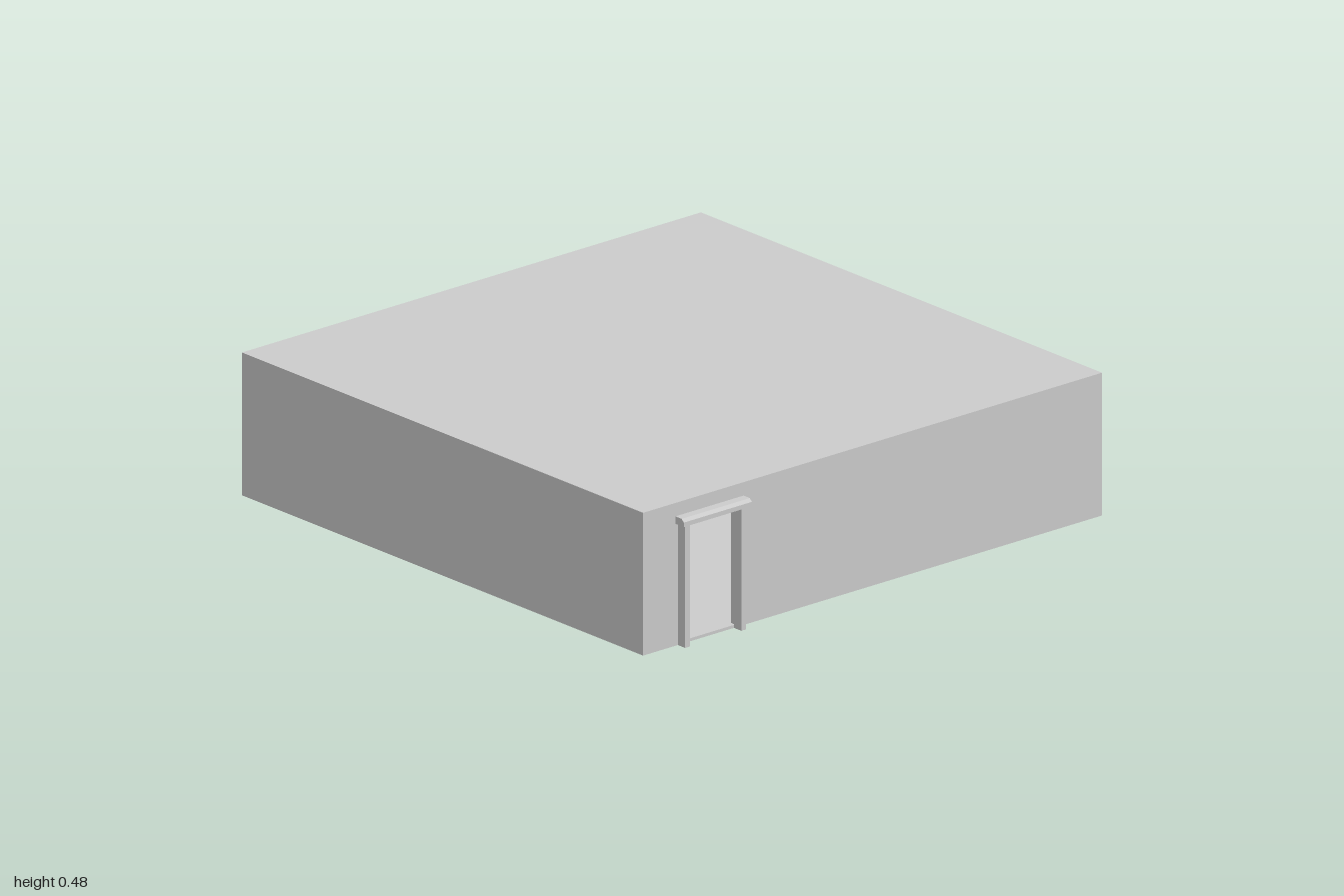
import * as THREE from 'three';

const material = new THREE.MeshStandardMaterial({ color: 0xcccccc, flatShading: true });
const XMIN = -0.965, XMAX = 0.955, HALF_Z = 0.96, HEIGHT = 0.48, T = 0.02;
const MID_X = (XMIN + XMAX) / 2;

function add(parent, name, geometry, x = 0, y = 0, z = 0) {
  const mesh = new THREE.Mesh(geometry, material);
  mesh.name = name;
  mesh.position.set(x, y, z);
  parent.add(mesh);
  return mesh;
}

const polygon = (points) => points.map(([a, b]) => new THREE.Vector2(a, b));
const rectangle = (a0, b0, a1, b1) => polygon([[a0, b0], [a1, b0], [a1, b1], [a0, b1]]);

// Extrudes a (z, y) outline into a panel that spans x = -depth to 0
function sidePanel(outline, hole, depth) {
  const shape = new THREE.Shape(outline);
  if (hole) shape.holes.push(new THREE.Path(hole));
  return new THREE.ExtrudeGeometry(shape, { depth, bevelEnabled: false }).rotateY(-Math.PI / 2);
}

// Stepped hood with a sloped upper edge, running along z; side is +1 or -1
function addHood(parent, name, wallX, side, z0, z1) {
  const profile = polygon([
    [0, 0.41], [0.04, 0.41], [0.04, 0.425], [0.03, 0.435], [0, 0.435],
  ]);
  const geometry = new THREE.ExtrudeGeometry(new THREE.Shape(profile), { depth: z1 - z0, bevelEnabled: false });
  if (side < 0) geometry.rotateY(Math.PI).translate(0, 0, z1 - z0);
  add(parent, name, geometry, wallX, 0, z0);
}

export function createModel() {
  const model = new THREE.Group();
  model.name = 'room';
  const width = XMAX - XMIN;
  const inner = HALF_Z - T;

  // Floor, ceiling, and the plain front and back walls
  add(model, 'floor', new THREE.BoxGeometry(width, 0.01, 2 * HALF_Z), MID_X, 0.005, 0);
  add(model, 'roof', new THREE.BoxGeometry(width, 0.01, 2 * HALF_Z), MID_X, HEIGHT - 0.005, 0);
  for (const [name, side] of [['frontWall', 1], ['backWall', -1]]) {
    add(model, name, new THREE.BoxGeometry(width, HEIGHT - 0.02, T), MID_X, HEIGHT / 2, side * (HALF_Z - T / 2));
  }

  // Side wall with a doorway reaching the floor
  add(model, 'doorWall', sidePanel(polygon([
    [-inner, 0.01], [0.575, 0.01], [0.575, 0.41], [0.8, 0.41],
    [0.8, 0.01], [inner, 0.01], [inner, 0.47], [-inner, 0.47],
  ]), null, T), XMAX);

  // Opposite side wall with a window opening
  add(model, 'windowWall', sidePanel(
    rectangle(-inner, 0.01, inner, 0.47), rectangle(0.04, 0.19, 0.25, 0.41), T), XMIN + T);

  // Door surround: two posts under a hood
  const door = new THREE.Group();
  door.name = 'doorFrame';
  model.add(door);
  for (const [name, z] of [['frontPost', 0.805], ['backPost', 0.57]]) {
    add(door, name, new THREE.BoxGeometry(0.035, 0.41, 0.02), XMAX + 0.0175, 0.205, z);
  }
  addHood(door, 'doorHood', XMAX, 1, 0.54, 0.825);

  // Window surround: square frame under a hood
  const window = new THREE.Group();
  window.name = 'windowFrame';
  model.add(window);
  add(window, 'windowTrim', sidePanel(
    rectangle(0.025, 0.17, 0.265, 0.415), rectangle(0.045, 0.19, 0.245, 0.405), 0.03), XMIN);
  addHood(window, 'windowHood', XMIN, -1, 0.01, 0.285);

  return model;
}
